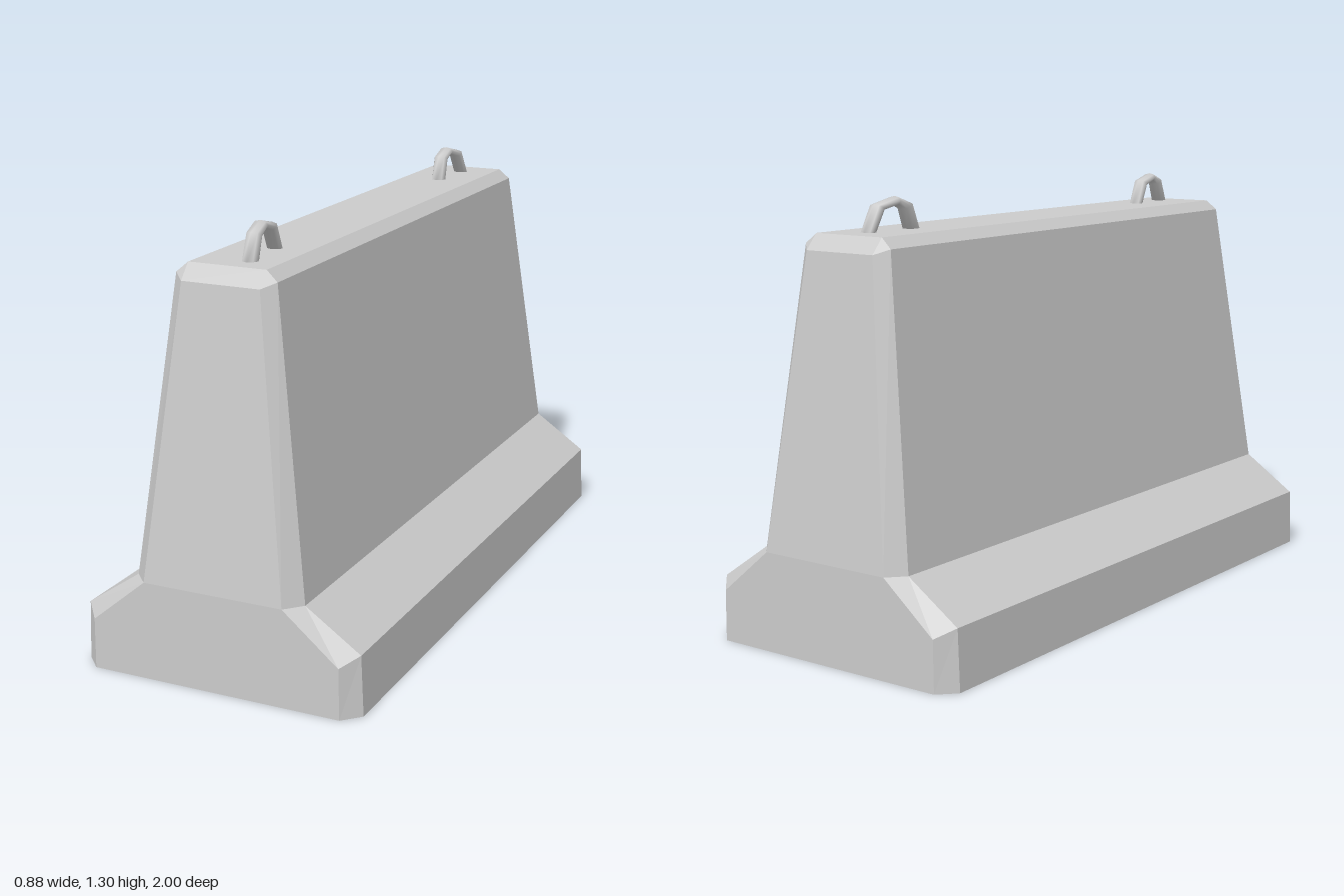
import * as THREE from 'three';

// Closed skin over cross-section rings, each ring counter-clockwise seen from the end of the path
function skin(rings, flat) {
  const n = rings[0].length, pts = rings.flat(), index = [];
  const tri = (a, b, c) => {
    if (new THREE.Triangle(pts[a], pts[b], pts[c]).getArea() > 1e-7) index.push(a, b, c);
  };
  for (let r = 0; r < rings.length - 1; r++) {
    for (let i = 0; i < n; i++) {
      const a = r * n + i, b = r * n + (i + 1) % n;
      tri(a, b, b + n);
      tri(a, b + n, a + n);
    }
  }
  const last = (rings.length - 1) * n;
  for (let i = 1; i < n - 1; i++) {
    tri(0, i + 1, i);
    tri(last, last + i, last + i + 1);
  }
  let geo = new THREE.BufferGeometry().setFromPoints(pts);
  geo.setIndex(index);
  if (flat) geo = geo.toNonIndexed();
  geo.computeVertexNormals();
  return geo;
}

// Chamfered octagon: long-side corners (xs, ys, zs) and end-face corners (xe, ye, ze)
function octagon([xs, ys, zs, xe, ye, ze]) {
  return [
    [xs, ys, zs], [xs, ys, -zs], [xe, ye, -ze], [-xe, ye, -ze],
    [-xs, ys, -zs], [-xs, ys, zs], [-xe, ye, ze], [xe, ye, ze],
  ].map((p) => new THREE.Vector3(...p));
}

// Lifting loop: outer and inner outline as [z, y], with a sideways bend along it
const OUTER = [[0.82, 1.19], [0.777, 1.275], [0.713, 1.297], [0.633, 1.277], [0.593, 1.19]];
const INNER = [[0.77, 1.19], [0.74, 1.257], [0.71, 1.27], [0.665, 1.259], [0.631, 1.19]];
function loopGeometry(bend, shift) {
  const sides = 8;
  const rings = OUTER.map(([zo, yo], k) => {
    const [zi, yi] = INNER[k];
    return Array.from({ length: sides }, (_, i) => {
      const t = (i / sides) * Math.PI * 2, f = (1 + Math.cos(t)) / 2;
      return new THREE.Vector3(
        bend[k] + 0.024 * Math.sin(t),
        yi + (yo - yi) * f,
        zi + (zo - zi) * f + shift,
      );
    });
  });
  return skin(rings, false);
}

export function createModel() {
  const group = new THREE.Group();
  const add = (name, geo, flatShading) => {
    const mesh = new THREE.Mesh(geo, new THREE.MeshStandardMaterial({ color: 0xcccccc, flatShading }));
    mesh.name = name;
    group.add(mesh);
  };

  // Concrete body: foot, sloped shoulder, tapered wall, bevelled top
  const levels = [
    [0.44, 0, 0.95, 0.39, 0, 1],
    [0.433, 0.18, 0.95, 0.388, 0.153, 1],
    [0.265, 0.295, 0.95, 0.218, 0.295, 1],
    [0.155, 1.17, 0.875, 0.12, 1.155, 0.91],
    [0.12, 1.2, 0.87, 0.12, 1.2, 0.87],
  ];
  add('barrierBody', skin(levels.map(octagon), true), true);

  // Slightly bent lifting loops
  add('frontLiftingLoop', loopGeometry([0.029, 0.024, 0.018, 0.013, 0.011], 0), false);
  add('backLiftingLoop', loopGeometry([0.003, -0.003, -0.004, 0.006, 0.013], -1.39), false);
  return group;
}
